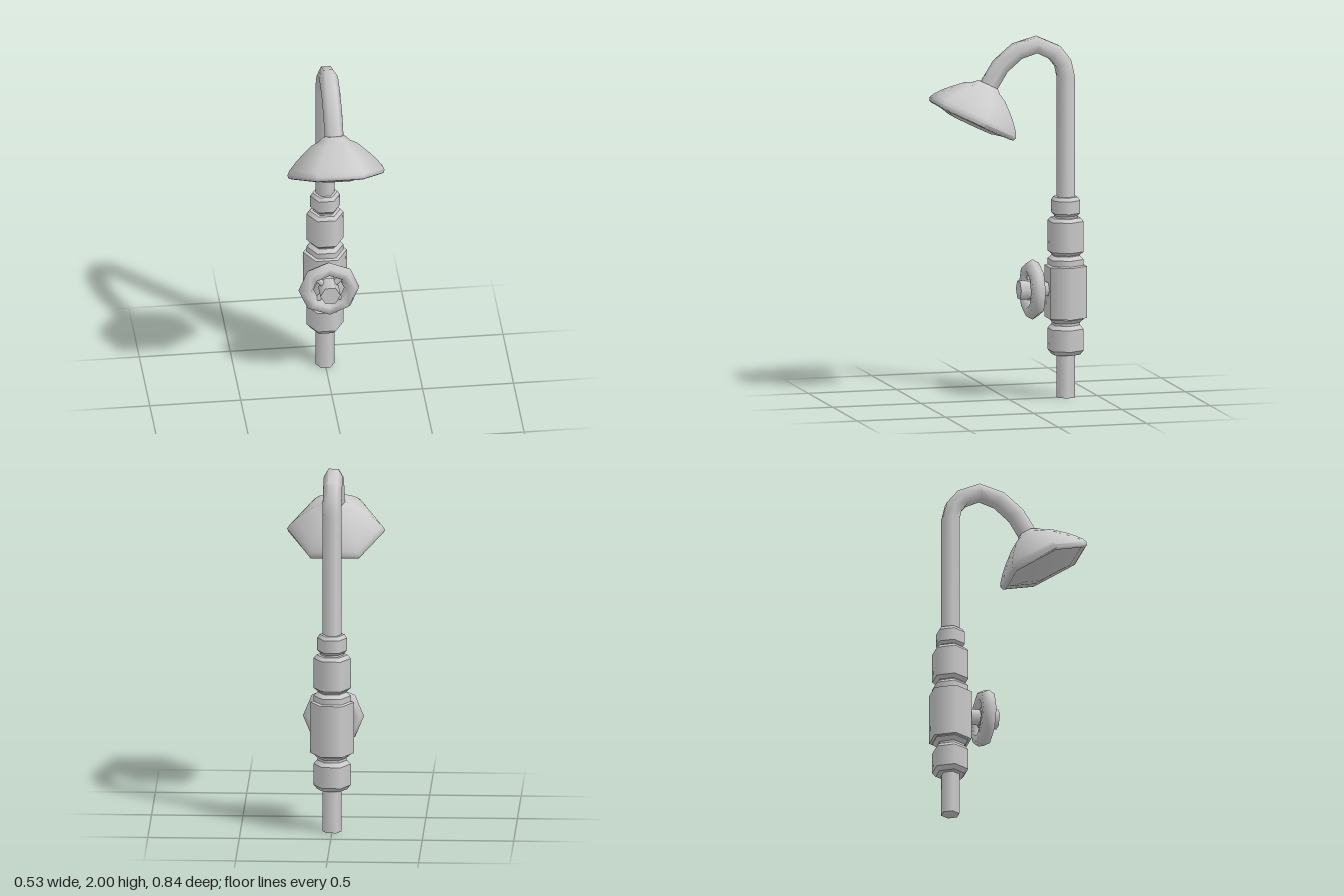
import * as THREE from 'three';
import { mergeGeometries, toCreasedNormals } from 'three/addons/utils/BufferGeometryUtils.js';

const SIDES = 6;
const CREASE = 1.1; // keeps the six sides smooth, end caps sharp
const PIPE_Z = -0.32;
const material = new THREE.MeshStandardMaterial({ color: 0xcccccc });

function addMesh(parent, name, geometry) {
  const mesh = new THREE.Mesh(geometry, material);
  mesh.name = name;
  parent.add(mesh);
  return mesh;
}

// Hexagonal turned part from [radius, y] pairs, with a sharp edge at every step
function fitting(profile) {
  const bands = [];
  for (let i = 1; i < profile.length; i++) {
    const [r0, y0] = profile[i - 1];
    const [r1, y1] = profile[i];
    const band = new THREE.CylinderGeometry(r1, r0, y1 - y0, SIDES, 1, true);
    bands.push(band.rotateY(Math.PI / 6).translate(0, (y0 + y1) / 2, 0));
  }
  return mergeGeometries(bands);
}

// Hexagonal pipe swept along [y, z] points
function sweptPipe(points, radius) {
  const n = points.length - 1;
  const path = points.map(([y, z]) => new THREE.Vector3(0, y, z));
  const geometry = new THREE.CylinderGeometry(radius, radius, n, SIDES, n).rotateY(Math.PI / 6);
  const pos = geometry.attributes.position;
  const xAxis = new THREE.Vector3(1, 0, 0);
  for (let i = 0; i < pos.count; i++) {
    const k = Math.round(pos.getY(i) + n / 2);
    const ahead = path[Math.min(k + 1, n)].clone().sub(path[k]).normalize();
    const behind = path[k].clone().sub(path[Math.max(k - 1, 0)]).normalize();
    const side = xAxis.clone().cross(ahead.add(behind).normalize());
    const p = path[k].clone().addScaledVector(side, pos.getZ(i));
    pos.setXYZ(i, pos.getX(i), p.y, p.z);
  }
  return toCreasedNormals(geometry, CREASE);
}

export function createModel() {
  const model = new THREE.Group();
  model.name = 'shower';

  // Riser with the bent arm at its top
  addMesh(model, 'pipe', sweptPipe([
    [0, PIPE_Z], [1.775, PIPE_Z], [1.85, -0.303], [1.91, -0.256], [1.957, -0.156],
    [1.925, -0.045], [1.845, 0.05], [1.755, 0.106], [1.71, 0.13],
  ], 0.052));

  // Couplings and valve body stacked on the riser
  const fittings = {
    lowerCoupling: [[0, 0.238], [0.082, 0.238], [0.102, 0.262], [0.102, 0.38], [0.082, 0.402], [0, 0.402]],
    lowerNeck: [[0.08, 0.395], [0.08, 0.415], [0.102, 0.436], [0.102, 0.445], [0, 0.445]],
    valveBody: [[0, 0.442], [0.12, 0.442], [0.12, 0.728], [0.102, 0.733], [0.102, 0.765], [0.08, 0.785], [0, 0.785]],
    upperCoupling: [[0.08, 0.78], [0.08, 0.79], [0.102, 0.808], [0.102, 0.975], [0.085, 0.995], [0, 0.995]],
    topCollar: [[0.066, 0.99], [0.066, 1.005], [0.082, 1.02], [0.082, 1.09], [0.068, 1.11], [0, 1.11]],
  };
  for (const [name, profile] of Object.entries(fittings)) {
    addMesh(model, name, fitting(profile)).position.z = PIPE_Z;
  }

  // Shower head, tilted forward
  const headProfile = [
    [0, -0.034], [0.13, -0.031], [0.215, -0.012], [0.228, -0.006], [0.245, -0.014],
    [0.262, -0.008], [0.267, 0.01], [0.255, 0.035], [0.222, 0.075], [0.185, 0.112],
    [0.125, 0.165], [0.085, 0.185], [0.06, 0.208], [0, 0.215],
  ].map(([r, y]) => new THREE.Vector2(r, y));
  const headGeometry = new THREE.LatheGeometry(headProfile, SIDES).rotateY(Math.PI / 6);
  const head = addMesh(model, 'showerHead', toCreasedNormals(headGeometry, CREASE));
  head.position.set(0, 1.56, 0.21);
  head.rotation.x = -0.455;

  // Hand wheel with spokes, hub and stem
  const valve = new THREE.Group();
  valve.name = 'handWheel';
  valve.position.set(0, 0.603, -0.132);
  model.add(valve);
  addMesh(valve, 'wheelRim', new THREE.TorusGeometry(0.125, 0.042, 6, 8));
  for (let i = 0; i < 4; i++) {
    const spoke = new THREE.CylinderGeometry(0.016, 0.016, 0.1, 6).translate(0, 0.06, 0);
    addMesh(valve, 'spoke', spoke).rotation.z = Math.PI / 4 + i * Math.PI / 2;
  }
  const rod = (name, radius, z0, z1) => {
    const g = new THREE.CylinderGeometry(radius, radius, z1 - z0, SIDES);
    g.rotateY(Math.PI / 6).rotateX(Math.PI / 2);
    addMesh(valve, name, g).position.z = (z0 + z1) / 2;
  };
  rod('hub', 0.056, -0.025, 0.078);
  rod('stem', 0.043, -0.12, 0);

  return model;
}
